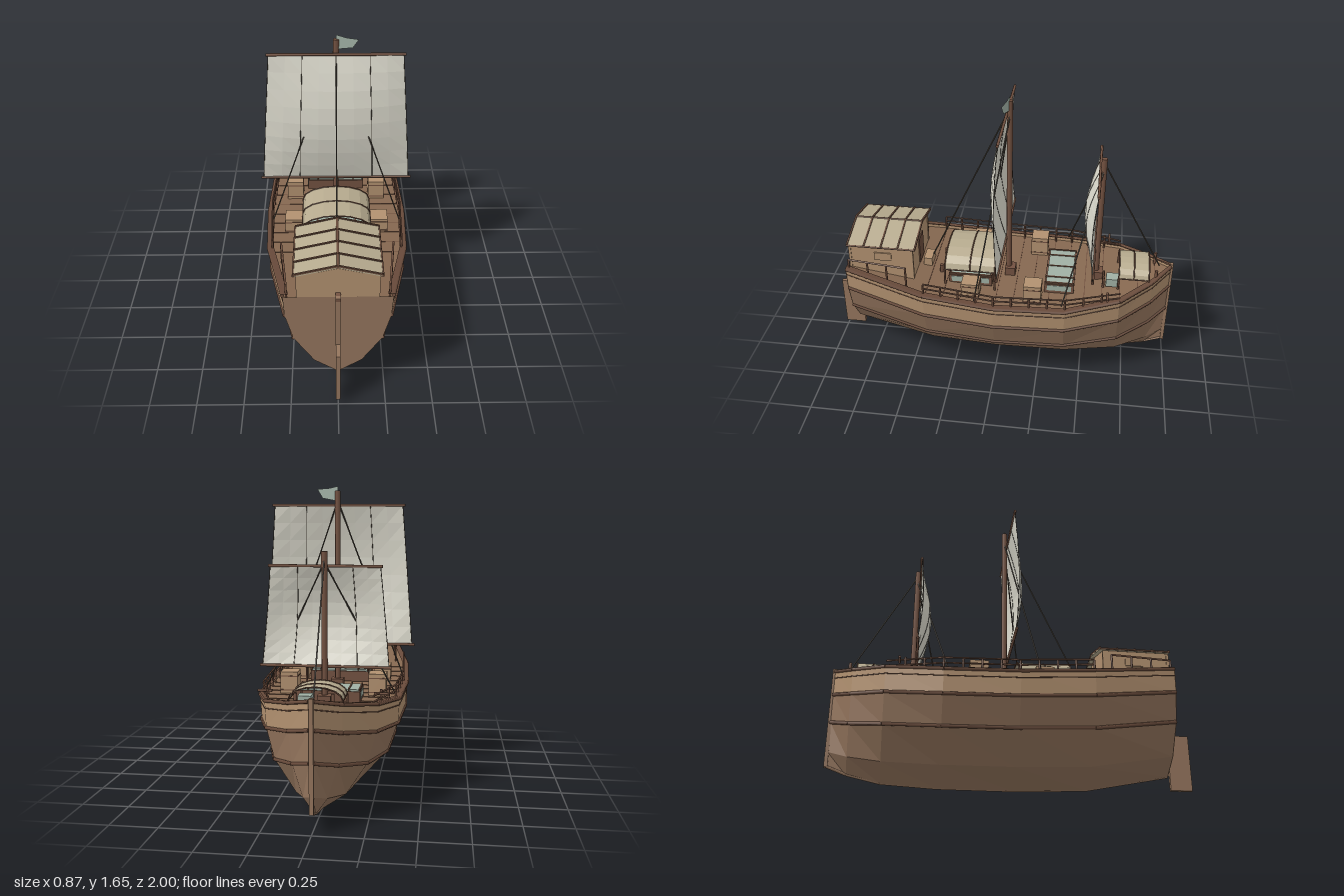
import * as THREE from 'three';

const mat = (name, color, double = true) => {
  const m = new THREE.MeshStandardMaterial({ color, side: double ? THREE.DoubleSide : THREE.FrontSide });
  m.name = name;
  return m;
};

// Hull stations: z, sheer height, keel height, half beam
const STATIONS = [
  [0.865, 0.65, 0.11, 0.28], [0.4, 0.575, 0.02, 0.378], [0, 0.542, 0.004, 0.398], [-0.4, 0.542, 0.004, 0.378],
  [-0.7, 0.578, 0.02, 0.285], [-0.88, 0.615, 0.06, 0.135], [-0.985, 0.65, 0.1, 0.012],
];
// Cross-section: height fraction, width fraction
const SECTION = [[0, 0.02], [0.15, 0.45], [0.45, 0.83], [0.74, 0.975], [1, 1]];

const lerp = THREE.MathUtils.lerp;
const V = (x, y, z) => new THREE.Vector3(x, y, z);

function station(z) {
  let i = 0;
  while (i < STATIONS.length - 2 && z < STATIONS[i + 1][0]) i++;
  const a = STATIONS[i], b = STATIONS[i + 1], t = (z - a[0]) / (b[0] - a[0]);
  return a.map((v, k) => lerp(v, b[k], t));
}
const hullPoint = ([z, top, keel, half], [f, w], side) => V(side * half * w, lerp(keel, top, f), z);
function widthAt(f) {
  const i = Math.max(1, SECTION.findIndex((s) => s[0] >= f));
  const a = SECTION[i - 1], b = SECTION[i];
  return lerp(a[1], b[1], (f - a[0]) / (b[0] - a[0]));
}

export function createModel() {
  const model = new THREE.Group();
  const hullBrown = mat('hull brown', 0x94755d);
  const tan = mat('tan plank', 0xb29170);
  const trim = mat('dark trim', 0x694b3b);
  const deckBrown = mat('deck brown', 0x866850);
  const spar = mat('spar brown', 0x735241, false);
  const canvas = mat('sailcloth', 0xdcdacd);
  const cover = mat('cover cloth', 0xb7ab8f);
  const green = mat('grey green', 0xa0b0a4);
  const rope = mat('rope', 0x514a40, false);

  const add = (name, geo, material, parent = model) => {
    const mesh = new THREE.Mesh(geo, material);
    mesh.name = name;
    parent.add(mesh);
    return mesh;
  };
  const group = (name) => {
    const g = new THREE.Group();
    g.name = name;
    model.add(g);
    return g;
  };
  const box = (name, w, h, d, x, y, z, material, parent) => {
    const m = add(name, new THREE.BoxGeometry(w, h, d), material, parent);
    m.position.set(x, y, z);
    return m;
  };
  const beam = (name, a, b, r, material, parent, sides = 6) => {
    const m = add(name, new THREE.CylinderGeometry(r, r, a.distanceTo(b), sides), material, parent);
    m.position.copy(a).lerp(b, 0.5);
    m.quaternion.setFromUnitVectors(V(0, 1, 0), b.clone().sub(a).normalize());
    return m;
  };
  const chain = (name, pts, r, material, parent) => {
    for (let i = 1; i < pts.length; i++) beam(name, pts[i - 1], pts[i], r, material, parent);
  };
  // Faceted surface through rows of points
  const loft = (name, rows, material, parent) => {
    const pos = [];
    for (let i = 1; i < rows.length; i++) for (let j = 1; j < rows[i].length; j++) {
      const a = rows[i - 1][j - 1], b = rows[i][j - 1], c = rows[i][j], d = rows[i - 1][j];
      [a, b, c, a, c, d].forEach((p) => pos.push(p.x, p.y, p.z));
    }
    const g = new THREE.BufferGeometry();
    g.setAttribute('position', new THREE.Float32BufferAttribute(pos, 3));
    g.computeVertexNormals();
    return add(name, g, material, parent);
  };

  // Hull planking, wales and gunwale cap
  const hull = group('hull');
  for (const s of [1, -1]) {
    const band = (from, to) => STATIONS.map((st) => SECTION.slice(from, to).map((p) => hullPoint(st, p, s)));
    loft('lowerHull', band(0, 4), hullBrown, hull);
    loft('upperStrake', band(3, 5), tan, hull);
    for (const [f, r] of [[0.99, 0.01], [0.92, 0.003], [0.74, 0.01], [0.45, 0.01]])
      chain('wale', STATIONS.map((st) => hullPoint(st, [f, widthAt(f)], s)), r, trim, hull);
    loft('gunwaleCap', STATIONS.map(([z, t, , w]) => [V(s * w, t + 0.005, z), V(s * Math.max(0, w - 0.03), t + 0.005, z)]), trim, hull);
  }
  const outline = SECTION.map((p) => hullPoint(STATIONS[0], p, 1));
  outline[4].y = 0.637;
  const transom = new THREE.Shape([...outline, ...outline.map((p) => V(-p.x, p.y, 0)).reverse()].map((p) => new THREE.Vector2(p.x, p.y)));
  add('transom', new THREE.ShapeGeometry(transom), hullBrown, hull).position.z = 0.867;
  chain('keel', STATIONS.map(([z, , k]) => V(0, k + 0.004, z)), 0.008, hullBrown, hull);
  box('stem', 0.022, 0.56, 0.02, 0, 0.38, -0.989, hullBrown, hull);

  // Deck with plank seams
  const deckY = (z) => station(z)[1] - 0.03;
  loft('deck', STATIONS.map(([z, t, , w]) => [1, 0, -1].map((s) => V(s * w * 0.98, t - 0.03, z))), deckBrown);
  for (let z = 0.4; z > -0.9; z -= 0.1)
    box('deckSeam', station(z)[3] * 1.9, 0.006, 0.004, 0, deckY(z), z, trim);

  // Rails along the sides and around the stern cabin
  const rails = group('rails');
  for (const s of [1, -1]) {
    const railPoint = (z, h) => { const [, t, , w] = station(z); return V(s * (w - 0.022), t + h, z); };
    for (const h of [0.066, 0.036])
      chain('sideRail', [0.4, 0, -0.4, -0.7].map((z) => railPoint(z, z < -0.5 ? h - 0.03 : h)), 0.005, spar, rails);
    for (let z = 0.4; z > -0.65; z -= 0.1) beam('railPost', railPoint(z, -0.03), railPoint(z, 0.06), 0.006, spar, rails);
    beam('sternRail', V(s * 0.3, 0.7, 0.51), V(s * 0.262, 0.702, 0.85), 0.006, spar, rails);
    for (let i = 0; i < 4; i++) {
      const x = s * lerp(0.3, 0.262, i / 3), z = lerp(0.51, 0.85, i / 3);
      beam('sternRailPost', V(x, 0.56, z), V(x, 0.702, z), 0.006, spar, rails);
    }
    beam('cathead', V(s * 0.26, 0.61, -0.63), V(s * 0.335, 0.61, -0.63), 0.007, spar, rails);
    beam('bowPost', V(s * 0.09, 0.59, -0.9), V(s * 0.09, 0.665, -0.9), 0.009, spar, rails);
  }

  // Rudder
  const rudder = group('rudder');
  box('rudderPost', 0.026, 0.32, 0.022, 0, 0.505, 0.903, hullBrown, rudder);
  box('rudderBlade', 0.022, 0.315, 0.122, 0, 0.193, 0.939, hullBrown, rudder);
  box('tillerHead', 0.026, 0.016, 0.08, 0, 0.655, 0.875, spar, rudder);

  // Stern cabin with battened gable roof
  const cabin = group('cabin');
  const gable = new THREE.Shape([[-0.207, 0.55], [0.207, 0.55], [0.207, 0.768], [0, 0.818], [-0.207, 0.768]].map((p) => new THREE.Vector2(...p)));
  add('cabinWalls', new THREE.ExtrudeGeometry(gable, { depth: 0.375, bevelEnabled: false }), tan, cabin).position.z = 0.487;
  box('cabinDoor', 0.1, 0.16, 0.008, 0, 0.65, 0.484, trim, cabin);
  box('cabinStep', 0.1, 0.05, 0.05, 0, 0.575, 0.435, tan, cabin);
  for (const s of [1, -1]) {
    const slope = Math.atan2(0.055, 0.22);
    const panel = box('roofPanel', 0.23, 0.01, 0.4, s * 0.112, 0.799, 0.665, cover, cabin);
    panel.rotation.z = -s * slope;
    for (let i = 0; i < 5; i++) {
      const batten = box('roofBatten', 0.23, 0.009, 0.009, s * 0.112, 0.806, 0.468 + i * 0.0985, trim, cabin);
      batten.rotation.z = -s * slope;
    }
    beam('eave', V(s * 0.223, 0.773, 0.465), V(s * 0.223, 0.773, 0.866), 0.006, trim, cabin);
    box('cabinShutter', 0.012, 0.05, 0.1, s * 0.208, 0.705, 0.66, tan, cabin);
    for (const z of [0.49, 0.853]) box('cornerPost', 0.014, 0.2, 0.014, s * 0.204, 0.665, z, tan, cabin);
  }
  beam('ridgePole', V(0, 0.828, 0.465), V(0, 0.828, 0.866), 0.008, trim, cabin);

  // Arched cloth canopies
  function canopy(z0, z1, half, y0, rise) {
    const g = group('canopy');
    const arch = (z, k = 0) => Array.from({ length: 9 }, (_, i) => {
      const a = Math.PI * i / 8;
      return V(-Math.cos(a) * (half + k), y0 + Math.sin(a) * (rise + k), z);
    });
    loft('canopyCloth', [arch(z0), arch(z1)], cover, g);
    for (const t of [0, 0.5, 1]) chain('canopyHoop', arch(lerp(z0, z1, t), 0.001), 0.004, trim, g);
    for (const s of [1, -1]) {
      beam('canopyEdge', V(s * half, y0, z0), V(s * half, y0, z1), 0.004, trim, g);
      for (const z of [z0, z1]) beam('canopyPost', V(s * half, deckY(z), z), V(s * half, y0, z), 0.006, spar, g);
    }
  }
  canopy(0.305, 0.015, 0.192, 0.635, 0.088);
  canopy(-0.69, -0.86, 0.132, 0.62, 0.064);

  // Glazed deck hatches
  function hatch(z, w, d) {
    const g = group('hatch');
    const y = deckY(z);
    box('hatchCoaming', w, 0.06, d, 0, y + 0.03, z, spar, g);
    box('hatchPane', w - 0.015, 0.012, d - 0.02, 0, y + 0.063, z, green, g);
    for (const s of [1, -1]) {
      box('hatchSidePane', 0.006, 0.035, d - 0.03, s * w / 2, y + 0.035, z, green, g);
      for (const x of [w / 2 - 0.005, w * 0.32]) box('hatchBar', 0.008, 0.01, d, s * x, y + 0.069, z, trim, g);
    }
    box('hatchBar', 0.006, 0.01, d, 0, y + 0.069, z, trim, g);
  }
  hatch(-0.355, 0.34, 0.17);
  hatch(0.16, 0.34, 0.25);

  // Crates, chest and bollards
  const cargo = group('cargo');
  for (const s of [1, -1]) {
    for (const [z, h] of [[-0.21, 0.12], [0.145, 0.09]]) {
      box('crate', 0.096, h, 0.1, s * 0.245, deckY(z) + h / 2, z, tan, cargo);
      for (const e of [0.15, 0.8]) box('crateBand', 0.099, 0.006, 0.103, s * 0.245, deckY(z) + h * e, z, spar, cargo);
    }
    beam('bollard', V(s * 0.085, 0.53, 0.345), V(s * 0.085, 0.59, 0.345), 0.012, spar, cargo);
    beam('standLeg', V(0.085 + s * 0.03, 0.54, -0.605), V(0.085 + s * 0.03, 0.61, -0.605), 0.007, spar, cargo);
  }
  box('greenChest', 0.068, 0.05, 0.07, 0.085, 0.575, -0.655, green, cargo);

  // Masts, yards and bellied square sails
  function rig(z, mastTop, yTop, yLow, halfTop, halfLow, belly) {
    const g = group('mastAndSail');
    beam('mast', V(0, 0.5, z), V(0, mastTop, z), 0.016, spar, g, 8);
    box('mastStep', 0.07, 0.05, 0.06, 0, deckY(z) + 0.025, z - 0.01, spar, g);
    const zs = z + 0.018;
    beam('upperYard', V(-halfTop, yTop, zs), V(halfTop, yTop, zs), 0.008, spar, g);
    beam('lowerYard', V(-halfLow, yLow, zs), V(halfLow, yLow, zs), 0.008, spar, g);
    const at = (u, v, k = 0) => V(u * 0.965 * lerp(halfTop, halfLow, v), lerp(yTop, yLow, v),
      zs + k + belly * Math.sin(Math.PI * v) * (1 - 0.75 * u * u));
    const steps = Array.from({ length: 9 }, (_, i) => i / 8);
    loft('sail', steps.map((v) => steps.map((u) => at(u * 2 - 1, v))), canvas, g);
    for (const u of [-1, -0.5, 0, 0.5, 1]) chain('sailSeam', steps.map((v) => at(u, v)), 0.002, rope, g);
  }
  rig(-0.045, 1.625, 1.545, 0.762, 0.375, 0.437, 0.075);
  rig(-0.56, 1.315, 1.24, 0.725, 0.292, 0.34, 0.07);

  // Standing rigging: side shrouds and centreline stays
  const rigging = group('rigging');
  for (const s of [1, -1]) {
    beam('mainShroud', V(0, 1.57, -0.05), V(s * 0.365, 0.56, 0.11), 0.004, rope, rigging);
    beam('foreShroud', V(0, 1.26, -0.565), V(s * 0.35, 0.56, -0.38), 0.004, rope, rigging);
  }
  beam('mainStay', V(0, 1.57, -0.04), V(0, 0.6, 0.41), 0.004, rope, rigging);
  beam('forestay', V(0, 1.28, -0.565), V(0, 0.64, -0.92), 0.004, rope, rigging);

  // Pennant
  const flag = new THREE.Shape([[0, 1.65], [0.06, 1.638], [0.125, 1.636], [0.092, 1.585], [0, 1.567]].map((p) => new THREE.Vector2(...p)));
  const pennant = add('pennant', new THREE.ShapeGeometry(flag), green);
  pennant.position.z = -0.045;
  pennant.rotation.y = -0.25;

  return model;
}
